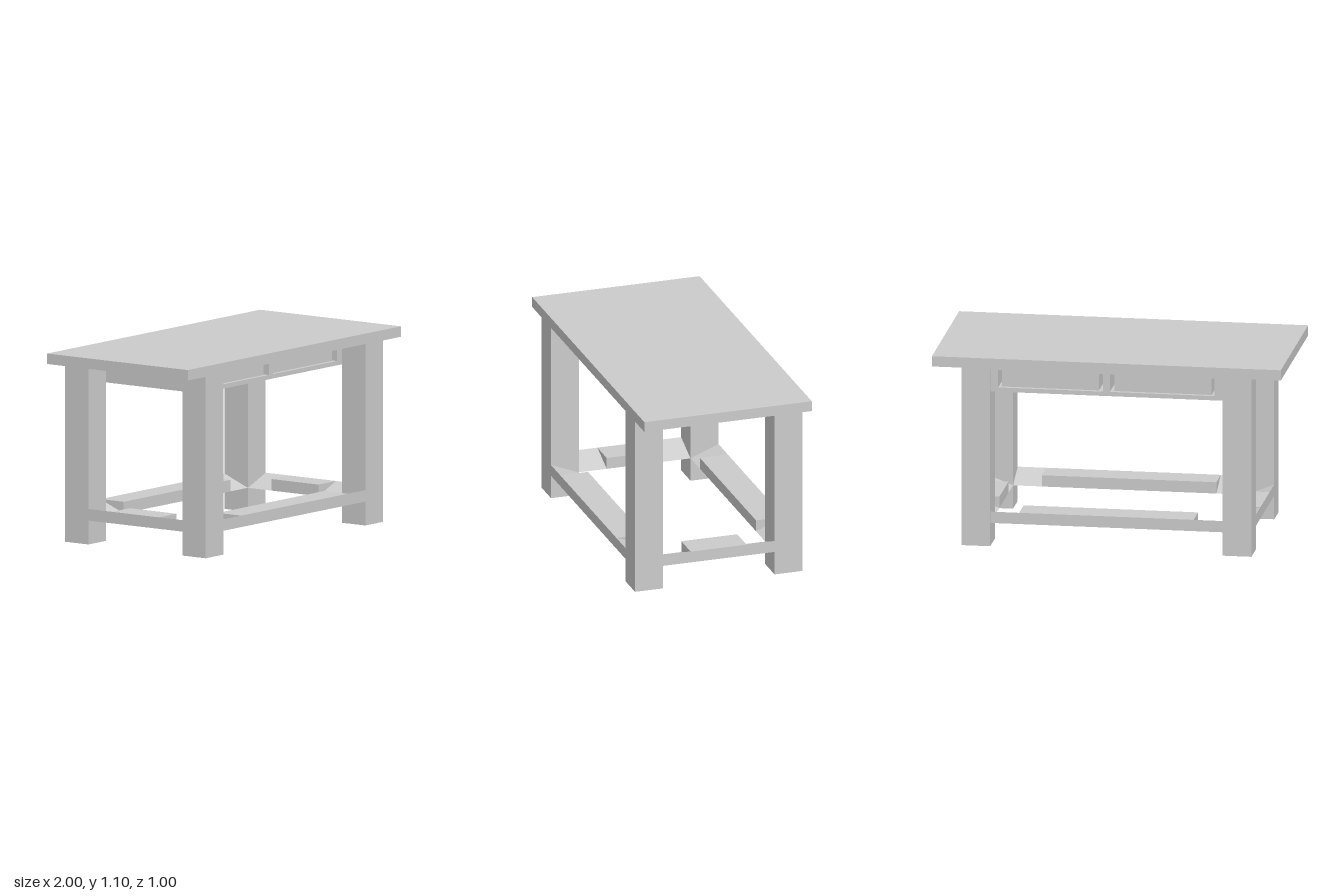
import * as THREE from 'three';

const material = new THREE.MeshStandardMaterial({ color: 0xcccccc, flatShading: true });

// Box given by its minimum and maximum corners
function block(name, [x0, y0, z0], [x1, y1, z1]) {
  const mesh = new THREE.Mesh(new THREE.BoxGeometry(x1 - x0, y1 - y0, z1 - z0), material);
  mesh.name = name;
  mesh.position.set((x0 + x1) / 2, (y0 + y1) / 2, (z0 + z1) / 2);
  return mesh;
}

function rectangle(Type, x0, y0, x1, y1) {
  const path = new Type();
  path.moveTo(x0, y0).lineTo(x1, y0).lineTo(x1, y1).lineTo(x0, y1).closePath();
  return path;
}

// Rail lying along x, outer face at z = outer; its ends slope down towards the inside
function stretcher(name, outer, halfLength, halfMiddle) {
  const bottom = 0.137, top = 0.203, inner = outer - 0.166;
  const group = new THREE.Group();
  group.name = name;
  group.add(block('railMiddle', [-halfMiddle, bottom, inner], [halfMiddle, top, outer]));
  const profile = new THREE.Shape();
  profile.moveTo(inner, bottom).lineTo(outer, bottom).lineTo(outer, top).closePath();
  const length = halfLength - halfMiddle;
  for (const end of [halfLength, -halfMiddle]) {
    const geometry = new THREE.ExtrudeGeometry(profile, { depth: length, bevelEnabled: false });
    geometry.rotateY(-Math.PI / 2).translate(end, 0, 0);
    const wedge = new THREE.Mesh(geometry, material);
    wedge.name = 'railEnd';
    group.add(wedge);
  }
  return group;
}

export function createModel() {
  const model = new THREE.Group();
  model.name = 'table';

  model.add(block('tableTop', [-1, 1.04, -0.5], [1, 1.1, 0.5]));

  // Square legs, flush with the long edges of the top
  for (const x of [-0.7485, 0.7485]) {
    for (const z of [-0.4165, 0.4165]) {
      model.add(block('leg', [x - 0.083, 0, z - 0.083], [x + 0.083, 1.04, z + 0.083]));
    }
  }

  // Low stretchers on all four sides
  ['frontStretcher', 'leftStretcher', 'backStretcher', 'rightStretcher'].forEach((name, i) => {
    const rail = i % 2 ? stretcher(name, 0.831, 0.333, 0.167) : stretcher(name, 0.5, 0.665, 0.5);
    rail.rotation.y = (i * Math.PI) / 2;
    model.add(rail);
  });

  // Drawer case: open at both ends, flush with the back legs
  const caseShape = rectangle(THREE.Shape, -0.665, 0.908, 0.665, 1.04);
  for (const side of [-1, 1]) {
    caseShape.holes.push(rectangle(THREE.Path, side * 0.02, 0.933, side * 0.62, 1.036));
  }
  const caseGeometry = new THREE.ExtrudeGeometry(caseShape, { depth: 0.833, bevelEnabled: false });
  caseGeometry.translate(0, 0, -0.5);
  const drawerCase = new THREE.Mesh(caseGeometry, material);
  drawerCase.name = 'drawerCase';
  model.add(drawerCase);

  // Two drawers, slightly recessed, with a gap at each side
  for (const x of [-0.3225, 0.3225]) {
    model.add(block('drawer', [x - 0.2775, 0.934, -0.48], [x + 0.2775, 1.033, 0.313]));
  }

  return model;
}
